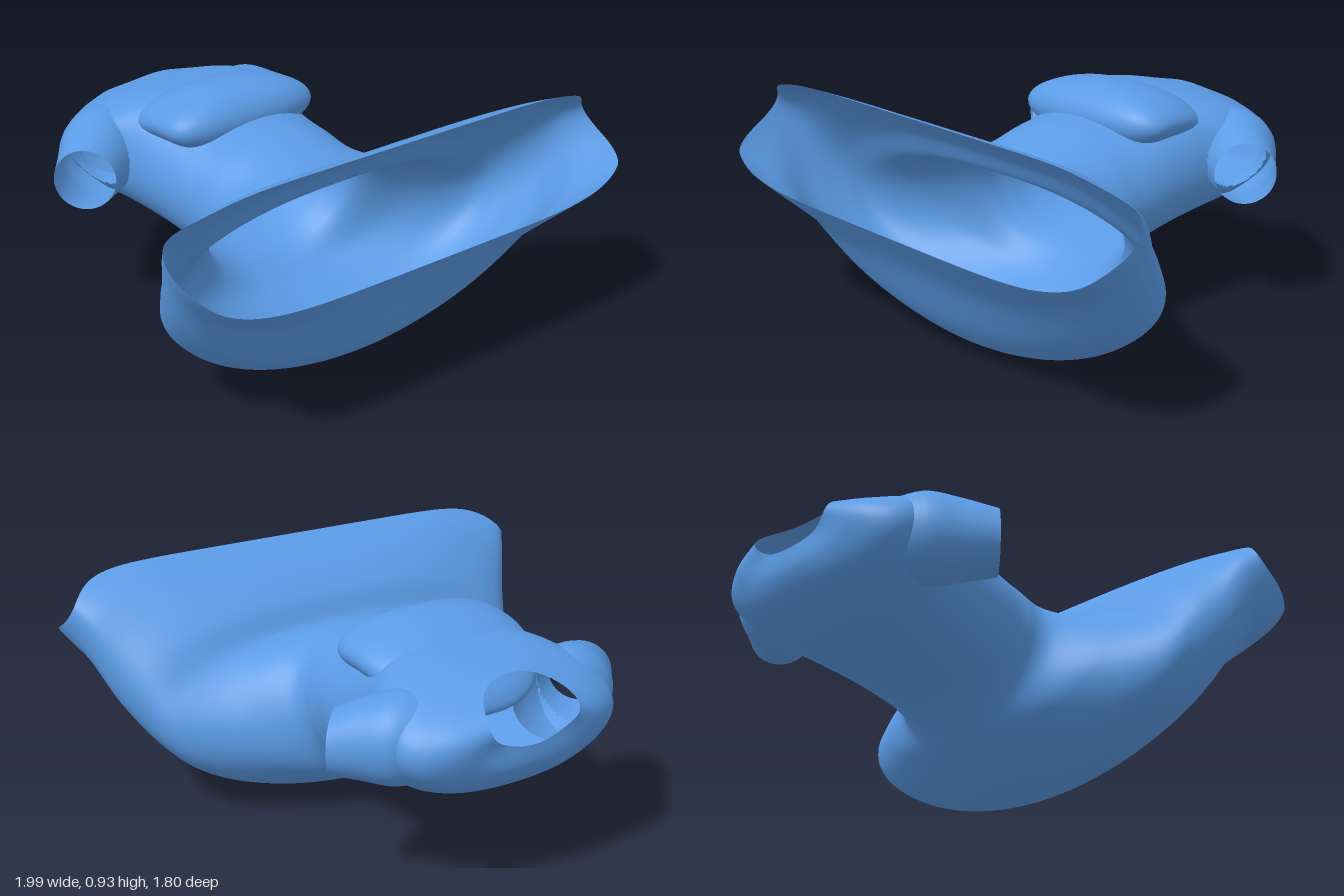
import * as THREE from 'three';

const cloth = new THREE.MeshStandardMaterial({ color: 0x5b9be6, side: THREE.DoubleSide });

// Closed-around surface from point(u, angle); quads whose centre passes skip() are left open
function surface(name, rows, cols, point, skip = () => false) {
  const pts = [], index = [];
  for (let i = 0; i <= rows; i++)
    for (let j = 0; j < cols; j++) pts.push(point(i / rows, (j / cols) * Math.PI * 2));
  for (let i = 0; i < rows; i++)
    for (let j = 0; j < cols; j++) {
      const a = i * cols + j, b = i * cols + ((j + 1) % cols), c = a + cols, d = b + cols;
      const mid = pts[a].clone().add(pts[d]).multiplyScalar(0.5);
      if (!skip(mid)) index.push(a, b, c, b, d, c);
    }
  const geo = new THREE.BufferGeometry().setFromPoints(pts);
  geo.setIndex(index);
  geo.computeVertexNormals();
  const mesh = new THREE.Mesh(geo, cloth);
  mesh.name = name;
  return mesh;
}

// Smooth interpolation through rows of numbers
function blend(table, u) {
  const t = u * (table.length - 1), i = Math.min(Math.floor(t), table.length - 2), f = t - i;
  const at = k => table[Math.max(0, Math.min(table.length - 1, k))];
  return table[0].map((_, k) => {
    const p0 = at(i - 1)[k], p1 = at(i)[k], p2 = at(i + 1)[k], p3 = at(i + 2)[k];
    return p1 + 0.5 * f * (p2 - p0 + f * (2 * p0 - 5 * p1 + 4 * p2 - p3 + f * (3 * (p1 - p2) + p3 - p0)));
  });
}

// Sections from neck to hem: top z, top y, bottom z, bottom y, half width,
// squareness above, squareness below, side bow, height fraction of the widest point
const sections = [
  [-0.74, 0.80, -0.895, 0.595, 0.19, 2.0, 2.0, 0.07, 0.5],
  [-0.70, 0.805, -0.885, 0.51, 0.33, 2.2, 2.2, 0.06, 0.5],
  [-0.62, 0.82, -0.82, 0.43, 0.45, 2.6, 2.4, 0.04, 0.5],
  [-0.50, 0.835, -0.68, 0.36, 0.45, 3.2, 2.5, 0.02, 0.5],
  [-0.40, 0.835, -0.50, 0.315, 0.395, 3.6, 2.5, 0, 0.5],
  [-0.28, 0.81, -0.34, 0.29, 0.375, 3.0, 2.4, 0, 0.5],
  [-0.12, 0.785, -0.20, 0.26, 0.365, 2.3, 2.3, 0, 0.5],
  [0.02, 0.77, -0.10, 0.22, 0.355, 2.2, 2.2, 0, 0.5],
  [0.18, 0.73, -0.03, 0.175, 0.38, 2.2, 2.2, 0.01, 0.5],
  [0.30, 0.69, 0.06, 0.115, 0.56, 2.2, 2.0, 0.02, 0.52],
  [0.345, 0.665, 0.23, 0.03, 0.76, 2.6, 1.9, 0.02, 0.58],
  [0.405, 0.755, 0.40, 0.0, 0.835, 3.2, 1.9, 0.03, 0.62],
  [0.51, 0.84, 0.58, 0.12, 0.90, 4.5, 2.0, 0.05, 0.61],
  [0.61, 0.895, 0.74, 0.385, 0.955, 6.5, 2.7, 0.08, 0.56],
  [0.69, 0.925, 0.88, 0.56, 0.995, 8.0, 5.5, 0.11, 0.45],
];

function bodyPoint(u, a) {
  const [tz, ty, bz, by, w, nTop, nBottom, bow, wide] = blend(sections, u);
  const c = Math.cos(a), s = Math.sin(a);
  const x = w * Math.sign(c) * Math.abs(c) ** (2 / (s > 0 ? nTop : nBottom));
  const f = wide + s * (s > 0 ? 1 - wide : wide);
  const hem = Math.max(0, u - 0.65) / 0.35; // hem sits askew and curls back at its upper corners
  const curl = bow * c ** 4 * (1 + 1.8 * hem * Math.max(s, -0.5));
  return new THREE.Vector3(x, by + (ty - by) * f, bz + (tz - bz) * f - curl + 0.045 * x * hem);
}

// Sleeve rings: centre x, y, z, half depth, half height
const sleeveRings = [
  [0.27, 0.605, -0.665, 0.15, 0.155],
  [0.36, 0.605, -0.61, 0.165, 0.17],
  [0.45, 0.595, -0.535, 0.14, 0.147],
  [0.53, 0.58, -0.47, 0.118, 0.12],
];
const across = new THREE.Vector2(0.73, -0.69); // ring direction in x, z

function sleeve(name, side) {
  const reach = side < 0 ? 0.045 : 0; // the right sleeve sits a little further out
  return surface(name, 16, 48, (u, a) => {
    const [x, y, z, d, h] = blend(sleeveRings, u);
    const k = d * Math.cos(a);
    return new THREE.Vector3(
      side * (x + reach * u + across.x * k),
      y + h * Math.sin(a),
      z + reach * 0.6 * u + across.y * k);
  });
}

// Armholes in the bodice, only where the sleeve tube covers them
function inArmhole(p) {
  const dx = Math.abs(p.x) - 0.4, dz = p.z + 0.58;
  const h = dx * across.x + dz * across.y, along = dz * across.x - dx * across.y;
  return Math.abs(p.x) > 0.22 && along > -0.09 && Math.hypot(h, p.y - 0.6) < 0.125;
}

// Rounded mound across the chest, fading into the upper bodice
function bust() {
  const geo = new THREE.SphereGeometry(1, 64, 40);
  const pos = geo.attributes.position, v = new THREE.Vector3();
  for (let i = 0; i < pos.count; i++) {
    v.fromBufferAttribute(pos, i);
    const n = v.z > 0 ? 3.2 : 2.6;
    const plan = (Math.abs(v.x) ** n + Math.abs(v.z) ** n) ** (1 / n);
    v.divideScalar(Math.hypot(plan, v.y));
    const back = Math.max(0, -v.z);
    pos.setXYZ(i, v.x * 0.345, 0.775 + v.y * 0.12 - 0.14 * back * back,
      -0.26 + v.z * (v.z > 0 ? 0.16 : 0.4));
  }
  geo.computeVertexNormals();
  const mesh = new THREE.Mesh(geo, cloth);
  mesh.name = 'bust';
  return mesh;
}

export function createModel() {
  const dress = new THREE.Group();
  dress.name = 'dress';
  dress.add(
    surface('bodiceAndSkirt', 140, 128, bodyPoint, inArmhole),
    sleeve('leftSleeve', 1),
    sleeve('rightSleeve', -1),
    bust());
  return dress;
}
